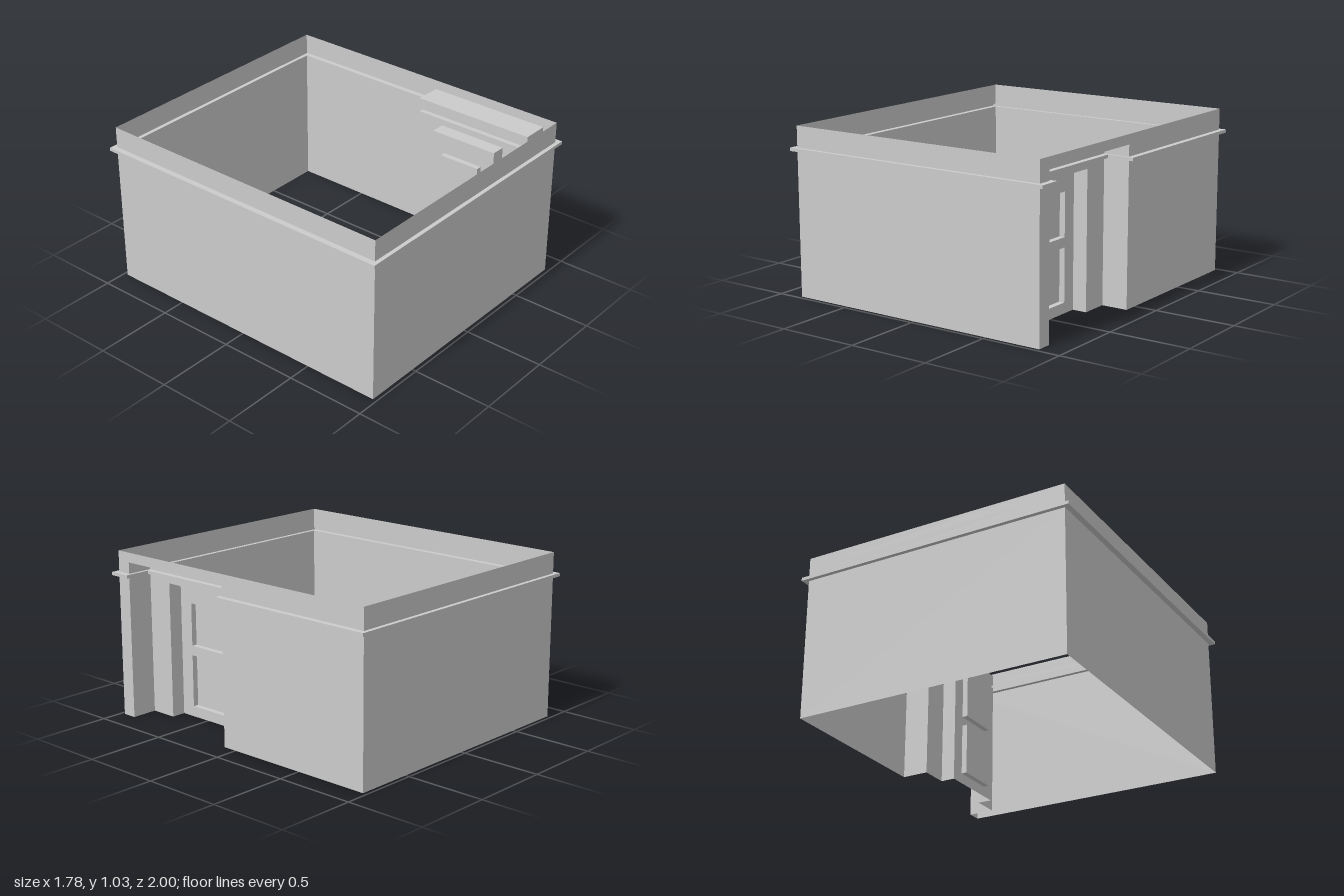
import * as THREE from 'three';

const material = new THREE.MeshStandardMaterial({ color: 0xcccccc, flatShading: true, side: THREE.DoubleSide });

// Skin quads between successive rows of points.
function loft(name, rows, closed) {
  const pos = [];
  for (let r = 0; r + 1 < rows.length; r++) {
    const a = rows[r], b = rows[r + 1], n = a.length;
    for (let i = 0; i < (closed ? n : n - 1); i++) {
      const j = (i + 1) % n;
      pos.push(...a[i], ...a[j], ...b[j], ...a[i], ...b[j], ...b[i]);
    }
  }
  const geo = new THREE.BufferGeometry();
  geo.setAttribute('position', new THREE.Float32BufferAttribute(pos, 3));
  geo.computeVertexNormals();
  return named(name, geo);
}

function named(name, geo) {
  const mesh = new THREE.Mesh(geo, material);
  mesh.name = name;
  return mesh;
}

// Rectangle outline [z, y]: up, across, down
const outline = ({ z0, z1, y0, y1 }) => [[z0, y0], [z0, y1], [z1, y1], [z1, y0]];
const atX = (pts, x) => pts.map(([z, y]) => [x, y, z]);

// Flat panel facing +x, with optional holes
function facing(name, pts, x, holes = []) {
  const flat = (p) => p.map(([z, y]) => new THREE.Vector2(-z, y));
  const shape = new THREE.Shape(flat(pts));
  for (const h of holes) shape.holes.push(new THREE.Path(flat(outline(h))));
  return named(name, new THREE.ShapeGeometry(shape).rotateY(Math.PI / 2).translate(x, 0, 0));
}

const X = 0.855, Z = 0.975, HEIGHT = 1.03;
const BAND0 = 0.88, BAND1 = 0.9;
const recess = { z0: 0.09, z1: 0.885, y0: 0, y1: 0.97, x: 0.69 };
const door = { z0: 0.265, z1: 0.715, y0: 0, y1: 0.84, x: 0.6 };
const panels = [
  { z0: 0.355, z1: 0.625, y0: 0.065, y1: 0.39, x: 0.565 },
  { z0: 0.355, z1: 0.625, y0: 0.45, y1: 0.715, x: 0.565 },
];

// Plan from one recess back corner round the building to the other; o = 1 steps out to the band
function plan(y, o) {
  const x = X + 0.035 * o, z = Z + 0.025 * o, back = recess.x + 0.035 * o;
  const r0 = recess.z0 + 0.015 * o, r1 = recess.z1 - 0.02 * o;
  return [[back, r0], [x, r0], [x, -z], [-x, -z], [-x, z], [x, z], [x, r1], [back, r1]]
    .map(([px, pz]) => [px, y, pz]);
}

export function createModel() {
  const model = new THREE.Group();
  model.name = 'roomShell';

  // Walls with the hollow string course, turning into the recess
  const levels = [[0, 0], [BAND0, 0], [BAND0, 1], [BAND1, 1], [BAND1, 0], [recess.y1, 0]];
  model.add(loft('wallsAndBand', levels.map(([y, o]) => plan(y, o)), false));

  // Parapet closing over the recess
  const rim = (y) => [[X, y, Z], [X, y, -Z], [-X, y, -Z], [-X, y, Z]];
  model.add(loft('parapet', [rim(recess.y1), rim(HEIGHT)], true));

  // Recess ceiling
  const top = [[recess.z0, recess.y1], [recess.z1, recess.y1]];
  model.add(loft('recessCeiling', [atX(top, X), atX(top, recess.x)], false));

  // Recess back wall around the doorway, with the band crossing above it
  const r = recess, d = door;
  model.add(facing('recessBack', [
    [r.z1, 0], [d.z1, 0], [d.z1, d.y1], [d.z0, d.y1], [d.z0, 0],
    [r.z0, 0], [r.z0, BAND0], [r.z1, BAND0],
  ], r.x));
  const backRows = levels.slice(1).map(([y, o]) => {
    const p = plan(y, o);
    return [p[7], p[0]];
  });
  model.add(loft('recessBand', backRows, false));

  // Door: reveal open at the floor, leaf with sunk panels
  const doorGroup = new THREE.Group();
  doorGroup.name = 'door';
  doorGroup.add(loft('doorReveal', [atX(outline(d), r.x), atX(outline(d), d.x)], false));
  doorGroup.add(facing('doorLeaf', outline(d), d.x, panels));
  for (const p of panels) {
    doorGroup.add(loft('panelReveal', [atX(outline(p), d.x), atX(outline(p), p.x)], true));
    doorGroup.add(facing('doorPanel', outline(p), p.x));
  }
  model.add(doorGroup);

  return model;
}
